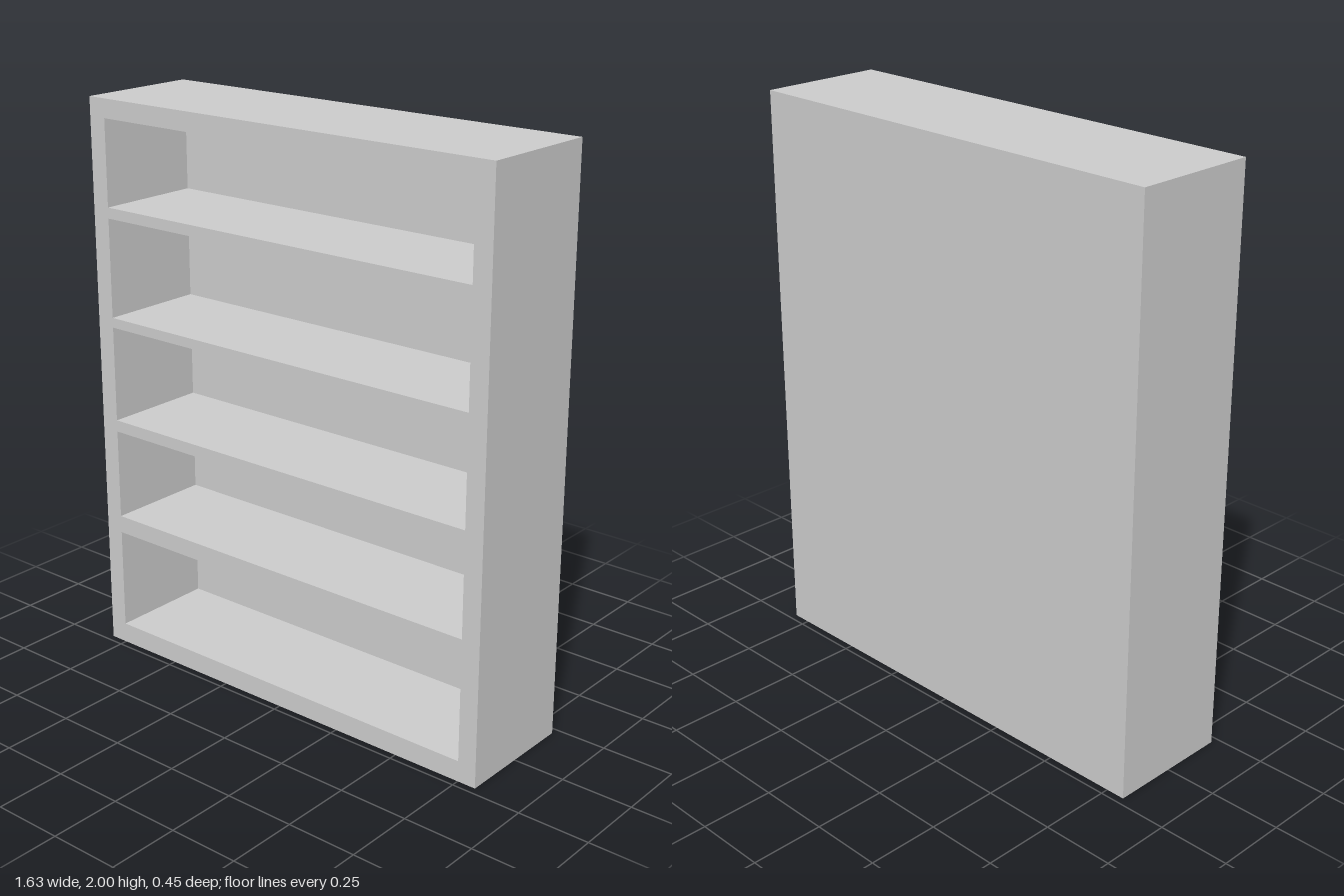
import * as THREE from 'three';

const HALF_W = 0.817, HEIGHT = 2, HALF_D = 0.223;
const INNER_HALF_W = 0.75, BACK = 0.06;

// Bottom and top of each open compartment
const COMPARTMENTS = [
  [0.073, 0.439],
  [0.502, 0.826],
  [0.868, 1.209],
  [1.244, 1.594],
  [1.632, 1.934],
];

// Adds a rectangle to a shape or path
function rect(path, halfW, y0, y1) {
  path.moveTo(-halfW, y0);
  path.lineTo(halfW, y0);
  path.lineTo(halfW, y1);
  path.lineTo(-halfW, y1);
  path.closePath();
  return path;
}

export function createModel() {
  const group = new THREE.Group();
  group.name = 'bookcase';
  const material = new THREE.MeshStandardMaterial({ color: 0xcccccc });

  // Side walls, top, base and shelves as one frame with open compartments
  const outline = rect(new THREE.Shape(), HALF_W, 0, HEIGHT);
  for (const [y0, y1] of COMPARTMENTS) {
    outline.holes.push(rect(new THREE.Path(), INNER_HALF_W, y0, y1));
  }
  const frameGeometry = new THREE.ExtrudeGeometry(outline, {
    depth: 2 * HALF_D - BACK,
    bevelEnabled: false,
  });
  const frame = new THREE.Mesh(frameGeometry, material);
  frame.name = 'shelfFrame';
  frame.position.z = -HALF_D + BACK;
  group.add(frame);

  // Solid panel closing the back
  const back = new THREE.Mesh(new THREE.BoxGeometry(2 * HALF_W, HEIGHT, BACK), material);
  back.name = 'backPanel';
  back.position.set(0, HEIGHT / 2, -HALF_D + BACK / 2);
  group.add(back);

  return group;
}
